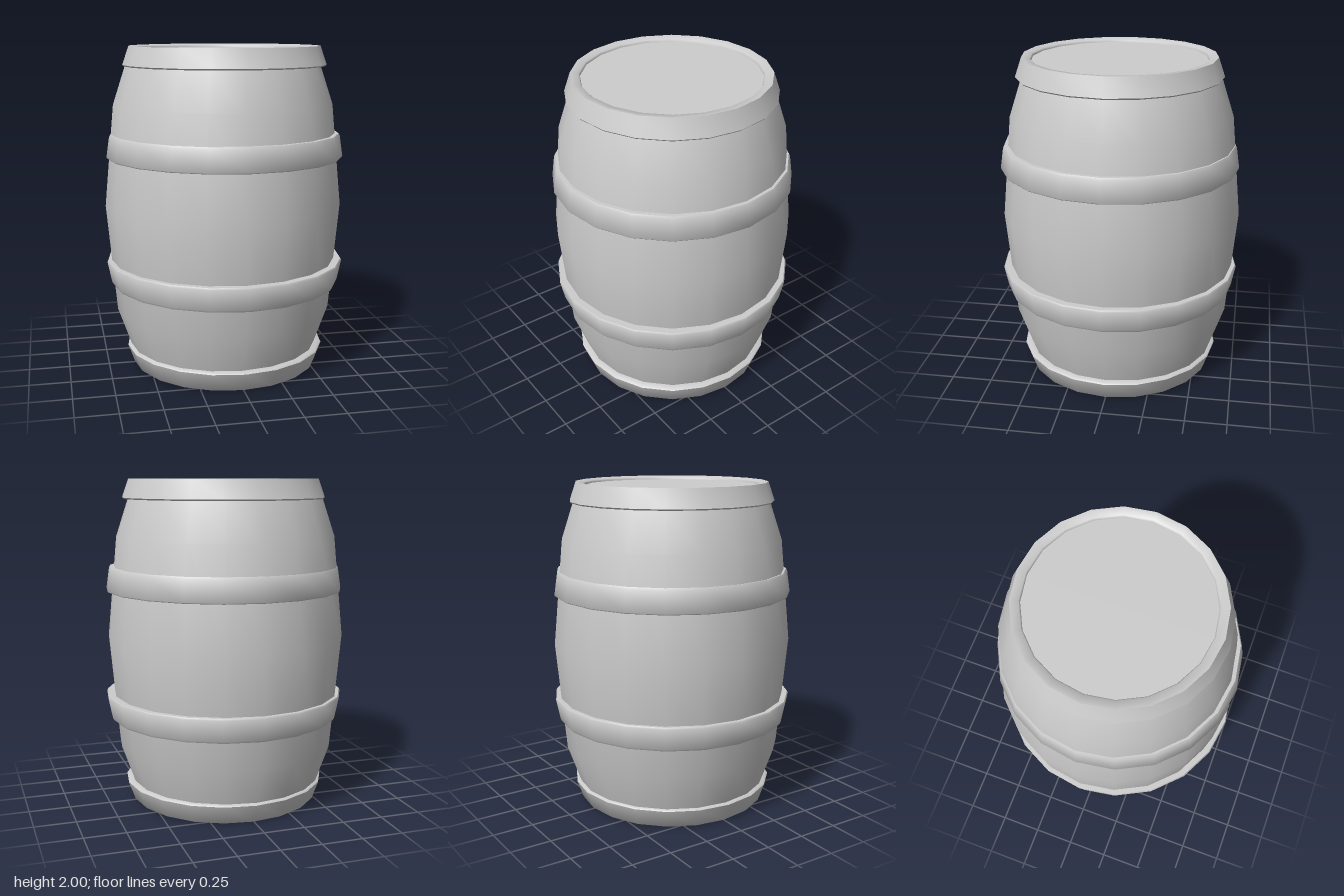
import * as THREE from 'three';
import { toCreasedNormals } from 'three/addons/utils/BufferGeometryUtils.js';

const SIDES = 20;

export function createModel() {
  const model = new THREE.Group();
  model.name = 'barrel';
  const grey = new THREE.MeshStandardMaterial({ color: 0xcccccc });
  grey.name = 'plain grey';

  // Turned part from a [radius, height] profile, listed bottom to top on the outside
  function turned(name, profile) {
    const points = profile.map(([r, y]) => new THREE.Vector2(r, y));
    const geometry = toCreasedNormals(new THREE.LatheGeometry(points, SIDES), 0.9);
    const mesh = new THREE.Mesh(geometry, grey);
    mesh.name = name;
    model.add(mesh);
    return mesh;
  }

  // Bulging body of staves with flat lid and base, set slightly off centre
  const body = turned('body', [
    [0, 0.012], [0.562, 0.012], [0.594, 0.125], [0.676, 0.36],
    [0.736, 1.03], [0.676, 1.65], [0.6, 1.88], [0.565, 1.978], [0, 1.978],
  ]);
  body.position.set(-0.009, 0, -0.009);

  // End hoops; the top one folds over the rim of the lid
  turned('topHoop', [
    [0.57, 1.88], [0.617, 1.88], [0.624, 1.888], [0.585, 2],
    [0.535, 1.993], [0.528, 1.985], [0.528, 1.96],
  ]);
  turned('bottomHoop', [
    [0.555, 0.03], [0.555, 0.006], [0.576, 0], [0.587, 0.008],
    [0.626, 0.118], [0.618, 0.127], [0.57, 0.127],
  ]);

  // Middle hoops, flaring towards the widest part of the body
  turned('upperHoop', [
    [0.68, 1.325], [0.727, 1.325], [0.733, 1.332],
    [0.714, 1.458], [0.706, 1.472], [0.67, 1.472],
  ]);
  turned('lowerHoop', [
    [0.67, 0.53], [0.71, 0.53], [0.718, 0.543],
    [0.744, 0.672], [0.737, 0.682], [0.68, 0.682],
  ]);

  return model;
}
